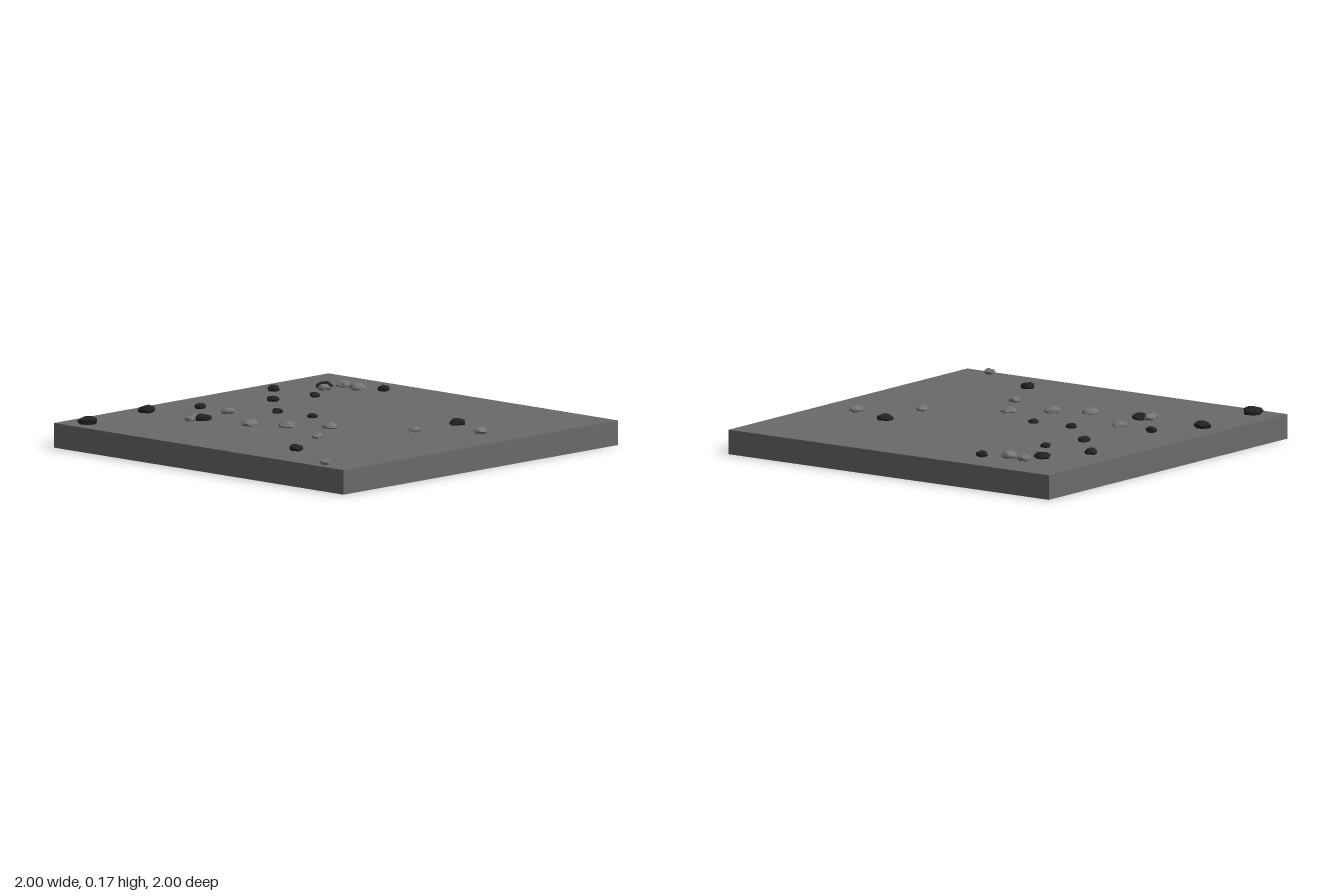
import * as THREE from 'three';
import { mergeVertices } from 'three/addons/utils/BufferGeometryUtils.js';

const TOP = 0.125; // height of the slab's rim

function seeded(seed) {
  let s = seed;
  return () => (s = (s * 16807) % 2147483647) / 2147483647;
}

// Flattened, faceted pebble with slightly uneven corners
function rockGeometry(radius, seed) {
  const rand = seeded(seed * 7919 + 13);
  let geo = new THREE.IcosahedronGeometry(1, 1);
  geo.deleteAttribute('normal');
  geo.deleteAttribute('uv');
  geo = mergeVertices(geo);
  const pos = geo.attributes.position;
  for (let i = 0; i < pos.count; i++) {
    const k = 0.84 + rand() * 0.26;
    pos.setXYZ(i, pos.getX(i) * k, pos.getY(i) * k, pos.getZ(i) * k);
  }
  geo.scale(radius, 0.006 + radius * 0.38, radius * 0.95);
  geo.rotateY(rand() * Math.PI * 2);
  geo = geo.toNonIndexed();
  geo.computeVertexNormals();
  return geo;
}

export function createModel() {
  const model = new THREE.Group();
  model.name = 'stonyGround';
  const ground = new THREE.MeshStandardMaterial({ color: 0x6a6a6a, side: THREE.DoubleSide });
  ground.name = 'ground grey';
  const lightStone = new THREE.MeshStandardMaterial({ color: 0x757575 });
  lightStone.name = 'light stone';
  const darkStone = new THREE.MeshStandardMaterial({ color: 0x222222 });
  darkStone.name = 'dark stone';

  // Ground surface, swelling very gently towards the middle
  const rise = (x, z) => 0.009 * (1 - x * x) * (1 - z * z);
  const topGeo = new THREE.PlaneGeometry(2, 2, 8, 8).rotateX(-Math.PI / 2);
  const p = topGeo.attributes.position;
  for (let i = 0; i < p.count; i++) p.setY(i, TOP + rise(p.getX(i), p.getZ(i)));
  topGeo.computeVertexNormals();
  const top = new THREE.Mesh(topGeo, ground);
  top.name = 'groundSurface';
  model.add(top);

  // Four thin side walls; the underside stays open
  ['front', 'left', 'back', 'right'].forEach((side, i) => {
    const geo = new THREE.PlaneGeometry(2, TOP).translate(0, TOP / 2, 1).rotateY(i * Math.PI / 2);
    const wall = new THREE.Mesh(geo, ground);
    wall.name = side + 'Wall';
    model.add(wall);
  });

  // Scattered stones: x, z, radius
  const lightSpots = [
    [-0.67, -0.76, 0.037], [-0.565, -0.75, 0.044], [-0.67, -0.62, 0.034], [0.765, -0.245, 0.038],
    [0.505, -0.04, 0.031], [0.13, 0.18, 0.042], [-0.54, 0.215, 0.038], [-0.05, 0.305, 0.045],
    [-0.215, 0.4, 0.045], [0.275, 0.425, 0.032], [-0.545, 0.455, 0.034], [-0.53, 0.505, 0.028],
    [0.82, 0.945, 0.027],
  ];
  const darkSpots = [
    [-0.44, -0.81, 0.032], [-0.71, -0.665, 0.042], [-0.84, -0.43, 0.035], [-0.56, -0.435, 0.026],
    [0.515, -0.34, 0.042], [-0.625, -0.2, 0.032], [-0.365, 0.04, 0.031], [-0.14, 0.025, 0.026],
    [-0.745, 0.205, 0.031], [-0.875, 0.455, 0.045], [-0.5, 0.44, 0.044], [-0.86, 0.9, 0.05],
    [0.44, 0.755, 0.036],
  ];
  const scatter = (spots, material, name, seed) => {
    const group = new THREE.Group();
    group.name = name + 's';
    spots.forEach(([x, z, r], i) => {
      const rock = new THREE.Mesh(rockGeometry(r * 1.04, seed + i), material);
      rock.name = name;
      rock.position.set(x, 0.139, z);
      group.add(rock);
    });
    model.add(group);
  };
  scatter(lightSpots, lightStone, 'lightStone', 1);
  scatter(darkSpots, darkStone, 'darkStone', 101);

  return model;
}
